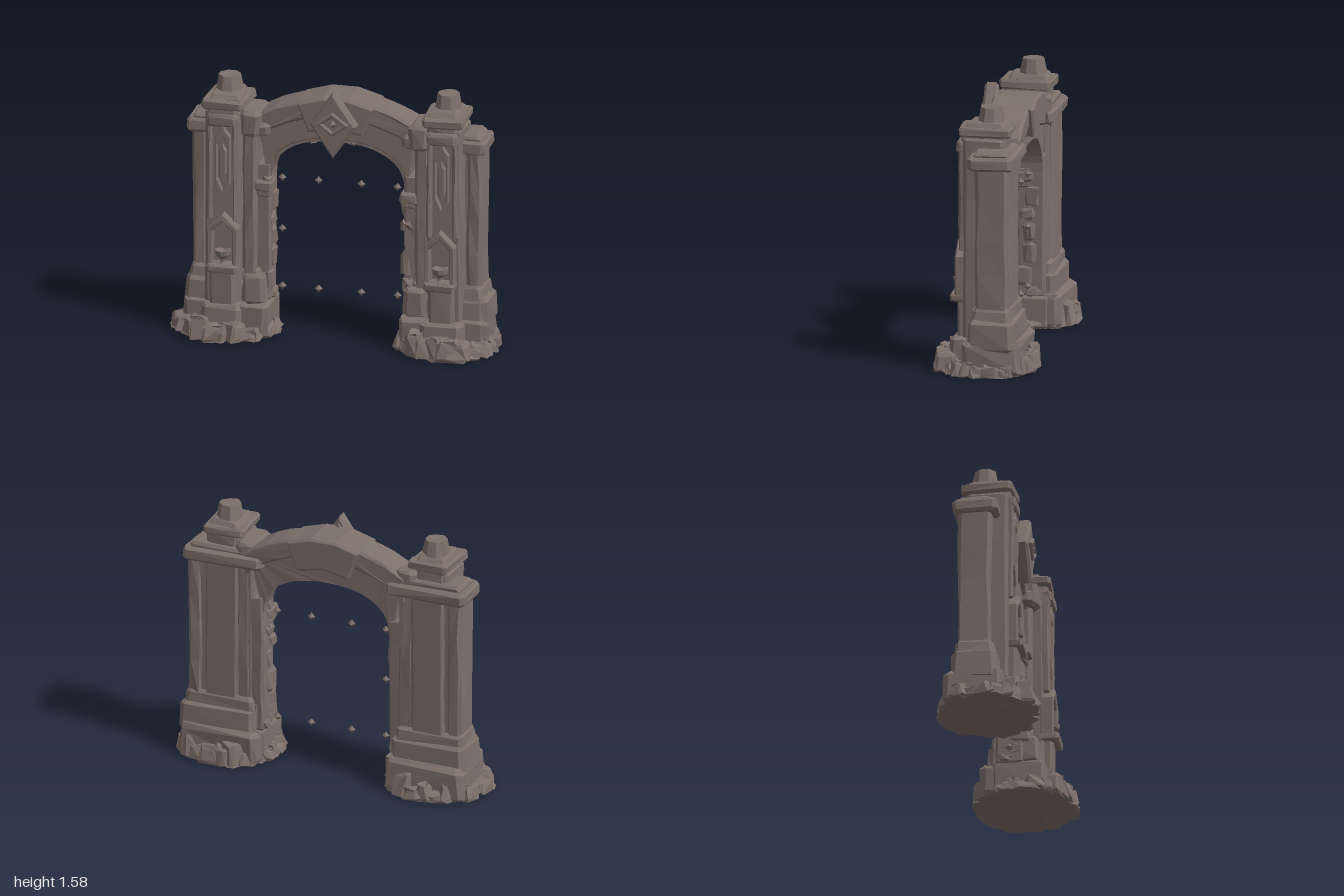
import * as THREE from 'three';

const stone = new THREE.MeshStandardMaterial({ color: 0x7d706a, flatShading: true });
stone.name = 'weathered stone';

// Seeded random and a position hash for worn surfaces
function seeded(s) {
  return () => { s = (s * 16807) % 2147483647; return s / 2147483647; };
}
const hash = (x, y, z, k) => {
  const v = Math.sin(Math.round(x * 500) * 1.27 + Math.round(y * 500) * 3.11 + Math.round(z * 500) * 7.47 + k * 19.3) * 4375.85;
  return (v - Math.floor(v)) * 2 - 1;
};

// Wear the surface, optionally mirror it to -x, and add it as a mesh
function add(group, name, geo, { wear = 0, side = 1 } = {}) {
  const g = geo.index ? geo.toNonIndexed() : geo;
  const p = g.attributes.position;
  for (let i = 0; i < p.count; i++) {
    const x = p.getX(i), y = p.getY(i), z = p.getZ(i);
    const ny = y < 0.002 ? y : Math.max(0, y + wear * hash(x, y, z, side + 4));
    p.setXYZ(i, side * (x + wear * hash(x, y, z, side + 2)), ny, z + wear * hash(x, y, z, side + 7));
  }
  if (side < 0) {
    for (let i = 0; i < p.count; i += 3) {
      const a = new THREE.Vector3().fromBufferAttribute(p, i + 1);
      const b = new THREE.Vector3().fromBufferAttribute(p, i + 2);
      p.setXYZ(i + 1, b.x, b.y, b.z);
      p.setXYZ(i + 2, a.x, a.y, a.z);
    }
  }
  g.clearGroups();
  g.computeVertexNormals();
  const mesh = new THREE.Mesh(g, stone);
  mesh.name = name;
  group.add(mesh);
  return mesh;
}

// Chamfered block between two corners; taper narrows its top
function block(x0, x1, y0, y1, z0, z1, { c = 0.008, taper = 1, steps = 1, turn = 0 } = {}) {
  const w = (x1 - x0) / 2 - c, d = (z1 - z0) / 2 - c, h = y1 - y0;
  const s = new THREE.Shape([[-w + c, -d], [w - c, -d], [w, -d + c], [w, d - c], [w - c, d], [-w + c, d], [-w, d - c], [-w, -d + c]]
    .map(([x, y]) => new THREE.Vector2(x, y)));
  const g = new THREE.ExtrudeGeometry(s, { depth: h - 2 * c, steps, bevelSize: c, bevelThickness: c, bevelSegments: 1 });
  g.rotateX(-Math.PI / 2).translate(0, c, 0);
  const p = g.attributes.position;
  for (let i = 0; i < p.count; i++) {
    const k = 1 + (taper - 1) * p.getY(i) / h;
    p.setXYZ(i, p.getX(i) * k, p.getY(i), p.getZ(i) * k);
  }
  return g.rotateY(turn).translate((x0 + x1) / 2, y0, (z0 + z1) / 2);
}

// Plate in the xy plane with optional hole
function plate(points, z0, z1, hole, c = 0) {
  const v = a => a.map(([x, y]) => new THREE.Vector2(x, y));
  const s = new THREE.Shape(v(points));
  if (hole) s.holes.push(new THREE.Path(v(hole)));
  return new THREE.ExtrudeGeometry(s, {
    depth: z1 - z0 - c, bevelEnabled: c > 0, bevelSize: c, bevelOffset: -c, bevelThickness: c, bevelSegments: 1
  }).translate(0, 0, z0);
}

const diamond = (w, h, cy) => [[0, cy - h], [w, cy], [0, cy + h], [-w, cy]];

function buildPillar(side) {
  const g = new THREE.Group();
  g.name = side > 0 ? 'leftPillar' : 'rightPillar';
  const put = (name, geo, wear = 0.005) => add(g, name, geo, { wear, side });

  // Stepped base
  put('footing', block(0.4, 0.92, 0, 0.2, -0.23, 0.12, { c: 0.02, taper: 0.97 }), 0.012);
  put('basePlinth', block(0.44, 0.92, 0.14, 0.33, -0.19, 0.09, { c: 0.02, taper: 0.98 }), 0.008);
  put('baseTop', block(0.45, 0.9, 0.3, 0.4, -0.17, 0.07, { c: 0.015, taper: 0.93 }), 0.006);
  put('innerPlinth', block(0.4, 0.57, 0, 0.2, -0.16, 0.17, { c: 0.015 }), 0.008);
  put('innerPlinthTop', block(0.42, 0.56, 0.2, 0.37, -0.14, 0.13, { c: 0.015, taper: 0.94 }), 0.006);
  put('frontPedestal', block(0.54, 0.8, 0, 0.2, 0, 0.22, { c: 0.02, taper: 0.95 }), 0.008);
  put('frontDado', block(0.59, 0.74, 0.18, 0.42, 0.05, 0.18, { c: 0.01 }));

  // Shaft, with separate slabs leaving grooves between them
  put('shaftCore', block(0.47, 0.86, 0.3, 1.27, -0.135, 0.03, { steps: 3 }), 0.003);
  put('outerSlab', block(0.79, 0.88, 0.36, 1.25, -0.15, 0.045, { c: 0.012, steps: 4 }), 0.007);
  put('innerSlab', block(0.48, 0.57, 0.35, 1.26, -0.14, 0.07, { c: 0.012, steps: 4 }), 0.005);
  put('backSlab', block(0.56, 0.77, 0.36, 1.25, -0.155, -0.05, { c: 0.01, steps: 3 }), 0.004);
  put('pilaster', block(0.57, 0.78, 0.19, 1.4, -0.11, 0.135, { c: 0.012, steps: 4 }), 0.004);
  for (const x of [0.575, 0.73])
    put('pilasterEdge', block(x, x + 0.03, 0.72, 1.37, 0.1, 0.165, { c: 0.007, steps: 4 }), 0.004);
  put('pilasterHead', block(0.575, 0.76, 1.31, 1.38, 0.08, 0.18, { c: 0.012 }), 0.006);

  // Spear shaped relief
  const spear = k => [[0.665, 1.07 - 0.23 * k], [0.665 + 0.045 * k, 1.07 - 0.12 * k], [0.665 + 0.045 * k, 1.07 + 0.18 * k],
    [0.665 + 0.02 * k, 1.07 + 0.21 * k], [0.665, 1.07 + 0.26 * k], [0.665 - 0.02 * k, 1.07 + 0.21 * k],
    [0.665 - 0.045 * k, 1.07 + 0.18 * k], [0.665 - 0.045 * k, 1.07 - 0.12 * k]];
  put('spearFrame', plate(spear(1), 0.12, 0.168, spear(0.72), 0.004), 0);
  put('spearRidge', plate(spear(0.5), 0.12, 0.158, null, 0.008), 0);

  // Pointed niche with shelf and bowl
  const niche = (w, y0, y1, y2) => [[0.66 - w, y0], [0.66 + w, y0], [0.66 + w, y1], [0.66, y2], [0.66 - w, y1]];
  put('nicheFrame', plate(niche(0.092, 0.44, 0.68, 0.77), 0.11, 0.19, niche(0.06, 0.46, 0.66, 0.72), 0.008), 0.002);
  put('nicheShelf', block(0.565, 0.755, 0.405, 0.455, 0.08, 0.22, { c: 0.01 }), 0.004);
  const bowl = [[0.001, 0.45], [0.03, 0.45], [0.015, 0.47], [0.016, 0.485], [0.045, 0.51], [0.05, 0.54], [0.04, 0.54], [0.001, 0.515]];
  put('bowl', new THREE.LatheGeometry(bowl.map(([x, y]) => new THREE.Vector2(x, y)), 8).translate(0.66, 0, 0.165), 0);

  // Shoulder cap, crown slabs and finial
  put('shoulderCap', block(0.4, 0.91, 1.235, 1.315, -0.18, 0.085, { c: 0.016 }), 0.006);
  put('shoulderTop', block(0.43, 0.88, 1.31, 1.345, -0.15, 0.06, { c: 0.01, taper: 0.92 }), 0.005);
  put('springer', block(0.45, 0.58, 1.24, 1.39, -0.15, 0.11, { c: 0.018 }), 0.008);
  put('crownNeck', block(0.58, 0.76, 1.34, 1.43, -0.12, 0.15, { c: 0.01 }), 0.004);
  put('crownSlab', block(0.54, 0.79, 1.41, 1.465, -0.145, 0.165, { c: 0.01, turn: 0.06 }), 0.004);
  put('crownSlope', block(0.565, 0.765, 1.455, 1.495, -0.12, 0.13, { c: 0.008, taper: 0.8, turn: -0.05 }), 0.004);
  put('finial', new THREE.CylinderGeometry(0.066, 0.088, 0.12, 8).rotateY(0.39).translate(0.665, 1.52, -0.015), 0.003);

  // Arch jamb of uneven courses with a small impost
  const r = seeded(side > 0 ? 77 : 191);
  put('jamb', block(0.405, 0.5, 0.2, 1.05, -0.13, 0.035, { steps: 6 }), 0.004);
  for (let y = 0.2; y < 0.98;) {
    const h = 0.05 + r() * 0.09;
    const back = -0.12 + r() * 0.08;
    put('jambChip', block(0.385 + r() * 0.015, 0.46, y, y + h, back, back + 0.06 + r() * 0.06, { c: 0.012 }), 0.009);
    y += h + 0.015;
  }
  put('impost', block(0.385, 0.5, 0.89, 0.95, -0.06, 0.075, { c: 0.01 }), 0.004);
  put('impostFoot', block(0.4, 0.49, 0.85, 0.9, -0.05, 0.055, { c: 0.008 }), 0.004);

  // Rubble heaped around the foot
  const count = 24;
  for (let i = 0; i < count; i++) {
    const a = (i + r() * 0.5) / count * Math.PI * 2;
    const ends = Math.abs(Math.cos(a));
    const w = 0.05 + r() * 0.035, d = 0.05 + r() * 0.03;
    const h = 0.05 + r() * (ends > 0.7 ? 0.05 : 0.11);
    const x = 0.675 + Math.cos(a) * 0.255, z = Math.sin(a) * (0.225 + r() * 0.035);
    put('rubble', block(x - w, x + w, 0, h, z - d, z + d, { c: 0.014, taper: 0.65, turn: r() * 3 }), 0.014);
  }
  return g;
}

function buildArch() {
  const g = new THREE.Group();
  g.name = 'arch';
  // Opening curve (squarish half ellipse) and outer circular curve
  const inner = (a, b) => Array.from({ length: 21 }, (_, i) => {
    const t = Math.PI * i / 20, c = Math.cos(t);
    return [a * Math.sign(c) * Math.abs(c) ** 0.85, 0.95 + b * Math.sin(t) ** 0.85];
  });
  const outer = (half, drop) => Array.from({ length: 15 }, (_, i) => {
    const x = -half + 2 * half * i / 14;
    return [x, 0.566 + Math.sqrt((0.934 - drop) ** 2 - x * x)];
  });
  add(g, 'archWall', plate([...inner(0.405, 0.27), ...outer(0.5, 0.03)], -0.12, 0.015), { wear: 0.002 });
  add(g, 'archMoulding', plate([...inner(0.425, 0.29), ...outer(0.47, 0.09)], -0.1, 0.03, null, 0.006));
  add(g, 'archRib', plate([...outer(0.52, 0.12).reverse(), ...outer(0.52, 0)], -0.14, 0.055, null, 0.014), { wear: 0.003 });

  // Broken stones along the underside
  const r = seeded(5);
  for (let x = -0.24; x < 0.22; x += 0.06) {
    const z = -0.1 + r() * 0.05;
    add(g, 'undersideChip', block(x, x + 0.055, 1.197 + r() * 0.012, 1.26, z, z + 0.07, { c: 0.01 }), { wear: 0.008 });
  }

  // Keystone and its diamond ornament
  const key = [[-0.165, 1.29], [0, 1.325], [0.165, 1.29], [0.235, 1.465], [0.08, 1.51], [-0.08, 1.51], [-0.235, 1.465]];
  add(g, 'keystone', plate(key, -0.17, 0.085, null, 0.012));
  add(g, 'ornamentBack', plate(diamond(0.1, 0.16, 1.37), 0.05, 0.13));
  add(g, 'ornamentFrame', plate(diamond(0.142, 0.207, 1.367), 0.08, 0.15, diamond(0.1, 0.1, 1.38), 0.015));
  add(g, 'ornamentRing', plate(diamond(0.1, 0.075, 1.38), 0.1, 0.168, diamond(0.06, 0.045, 1.38), 0.008));
  const gem = new THREE.ConeGeometry(0.045, 0.05, 4, 1).rotateX(Math.PI / 2).scale(1, 0.9, 1).translate(0, 1.38, 0.155);
  add(g, 'ornamentGem', gem);
  return g;
}

export function createModel() {
  const model = new THREE.Group();
  model.name = 'stoneArchway';
  model.add(buildPillar(1), buildPillar(-1), buildArch());

  // Small crystals floating in the opening
  const crystals = new THREE.Group();
  crystals.name = 'floatingCrystals';
  const spots = [[-0.35, 0.63]];
  for (const x of [-0.35, -0.13, 0.13, 0.35]) spots.push([x, 0.95], [x, 0.27]);
  for (const [x, y] of spots)
    add(crystals, 'crystal', new THREE.OctahedronGeometry(0.025).translate(x, y, -0.04));
  model.add(crystals);
  return model;
}
